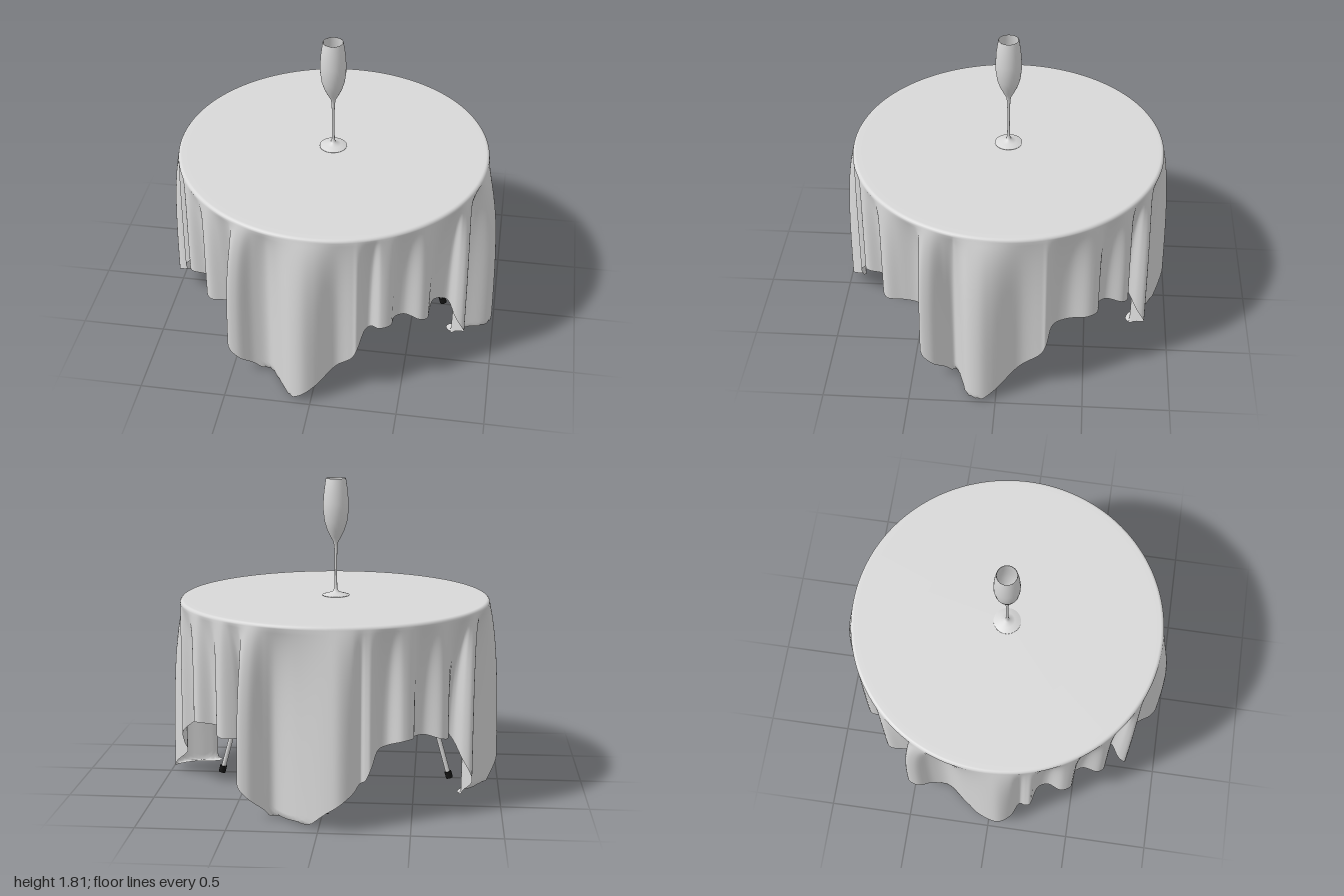
import * as THREE from 'three';

const CX = -0.015, CZ = -0.015;      // table axis
const TOP = 1.12, EDGE = 0.914, ROUND = 0.02, FLOOR = 0.012;

const grey = new THREE.MeshStandardMaterial({ color: 0xd8d8d8, side: THREE.DoubleSide });
grey.name = 'pale grey';
const black = new THREE.MeshStandardMaterial({ color: 0x141414 });
black.name = 'black';

// Each hanging corner: angle and radius of its main fold, turn of its side fold,
// and sway of the small folds that follow it
const CORNERS = [
  { peak: 6, reach: 1.012, turn: -2, sway: 4 }, { peak: 2, reach: 1.0, turn: 1, sway: 0 },
  { peak: -5, reach: 0.985, turn: 2, sway: 1 }, { peak: -6, reach: 0.98, turn: -1, sway: -4 },
];

// One quarter of the hem as [angle at table edge, angle at hem, hem radius, hem height]
function hemQuarter({ peak, reach, turn, sway }) {
  const slope = (a, r) => [a, a, r, 0.08 - 0.0125 * a];
  const small = (a, r, y, shift = sway) => [a + shift, a + shift, r, y];
  return [
    slope(-15, 0.91), slope((peak - 21) / 2, 0.89), slope(peak - 4.5, 0.97 * reach),
    slope(peak, reach), slope(peak + 4.5, 0.975 * reach), slope((peak + 24) / 2, 0.87),
    [16, 19, 0.81, -0.03], [20, 23.5 + turn, 0.85, 0.05], [23.5, 27 + turn, 0.935, 0.13],
    [26, 30.5 + turn, 0.96, 0.2], [28.5, 32 + turn, 0.915, 0.29], [31, 31 + turn, 0.84, 0.38],
    [34, 34 + sway / 2, 0.81, 0.43], [38 + sway / 2, 38 + sway, 0.865, 0.44],
    small(42, 0.925, 0.44), small(45, 0.92, 0.45), small(49, 0.845, 0.47), small(53, 0.84, 0.47),
    small(57, 0.92, 0.48), small(61, 0.915, 0.47), small(65, 0.84, 0.44, sway / 2),
    small(69, 0.84, 0.42, 0), small(73, 0.92, 0.34, 0),
  ];
}

function mesh(name, geometry, material) {
  const m = new THREE.Mesh(geometry, material);
  m.name = name;
  return m;
}

// Square cloth draped over a round top, its four corners touching the floor
function clothGeometry() {
  const edgePts = [], hemPts = [];
  CORNERS.forEach((corner, q) => {
    for (const [a, b, r, y] of hemQuarter(corner)) {
      const ta = THREE.MathUtils.degToRad(a + q * 90), tb = THREE.MathUtils.degToRad(b + q * 90);
      edgePts.push(new THREE.Vector3(Math.cos(ta), 0, Math.sin(ta)));
      hemPts.push(new THREE.Vector3(r * Math.cos(tb), y, r * Math.sin(tb)));
    }
  });
  const edge = new THREE.CatmullRomCurve3(edgePts, true);
  const hem = new THREE.CatmullRomCurve3(hemPts, true);
  const cols = edgePts.length * 6, drapeRows = 40;

  // Flat top and rounded rim as [radius, height]
  const rim = [[0.001, TOP], [0.5, TOP], [0.86, TOP]];
  for (let k = 0; k <= 4; k++) {
    const t = (k / 4) * Math.PI / 2;
    rim.push([EDGE - ROUND + ROUND * Math.sin(t), TOP - ROUND + ROUND * Math.cos(t)]);
  }
  const rows = rim.length + drapeRows;
  const pos = [], index = [];
  for (let j = 0; j < rows; j++) {
    for (let i = 0; i < cols; i++) {
      const dir = edge.getPoint(i / cols).normalize();
      if (j < rim.length) {
        pos.push(CX + dir.x * rim[j][0], rim[j][1], CZ + dir.z * rim[j][0]);
        continue;
      }
      const h = hem.getPoint(i / cols);
      const start = TOP - ROUND;
      const d = ((j - rim.length + 1) / drapeRows) * (start - h.y);
      const w = 1 - Math.exp(-3.7 * d);                 // folds deepen downwards
      let x = THREE.MathUtils.lerp(dir.x * EDGE, h.x, w);
      let z = THREE.MathUtils.lerp(dir.z * EDGE, h.z, w);
      let y = start - d;
      if (y < FLOOR) {                                  // corner curls in on the floor
        const s = 1 - (FLOOR - y) * 0.85;
        x *= s; z *= s; y = FLOOR;
      }
      pos.push(CX + x, y, CZ + z);
    }
  }
  for (let j = 0; j < rows - 1; j++) {
    for (let i = 0; i < cols; i++) {
      const n = (i + 1) % cols;
      const a = j * cols + i, b = j * cols + n, c = a + cols, e = b + cols;
      index.push(a, b, c, b, e, c);
    }
  }
  const g = new THREE.BufferGeometry();
  g.setAttribute('position', new THREE.Float32BufferAttribute(pos, 3));
  g.setIndex(index);
  g.computeVertexNormals();
  return g;
}

// Cylinder between two points
function rod(name, from, to, radius, material, sides = 16) {
  const m = mesh(name, new THREE.CylinderGeometry(radius, radius, from.distanceTo(to), sides), material);
  m.position.copy(from).add(to).multiplyScalar(0.5);
  m.quaternion.setFromUnitVectors(new THREE.Vector3(0, 1, 0), to.clone().sub(from).normalize());
  return m;
}

function createTable() {
  const table = new THREE.Group();
  table.name = 'table';
  table.position.set(CX, 0, CZ);

  const board = mesh('tableTop', new THREE.CylinderGeometry(0.89, 0.89, 0.03, 96), black);
  board.position.y = 1.095;
  table.add(board);

  // Four splayed legs with dark feet and thin braces
  for (let q = 0; q < 4; q++) {
    const t = q * Math.PI / 2;
    const at = (r, y) => new THREE.Vector3(r * Math.cos(t), y, r * Math.sin(t));
    table.add(rod('leg', at(0.69, 0.03), at(0.4, 1.085), 0.014, grey));
    table.add(rod('foot', at(0.697, 0.008), at(0.686, 0.048), 0.021, black));
    table.add(rod('brace', at(0.0, 1.06), at(0.457, 0.88), 0.007, grey, 10));
  }
  return table;
}

// Tall flute with a thin stem and an open bowl
function createGlass() {
  const foot = [[0, 1.122], [0.08, 1.122], [0.08, 1.127], [0.045, 1.137], [0.016, 1.147],
    [0.009, 1.17], [0.007, 1.25], [0.008, 1.36], [0.01, 1.41]];
  const lower = [[0.014, 1.44], [0.03, 1.47]];
  const bowl = [[0.05, 1.51], [0.066, 1.56], [0.074, 1.62], [0.075, 1.67], [0.07, 1.74], [0.059, 1.815]];
  const inner = bowl.map(([r, y]) => [r - 0.004, y]).reverse();
  const profile = [...foot, ...lower, ...bowl, ...inner, [0.03, 1.492], [0, 1.487]];
  const glass = mesh('wineGlass',
    new THREE.LatheGeometry(profile.map(([r, y]) => new THREE.Vector2(r, y)), 40), grey);
  glass.position.set(-0.02, 0, -0.015);
  return glass;
}

export function createModel() {
  const model = new THREE.Group();
  model.name = 'dressedTable';
  model.add(mesh('tablecloth', clothGeometry(), grey), createTable(), createGlass());
  return model;
}
